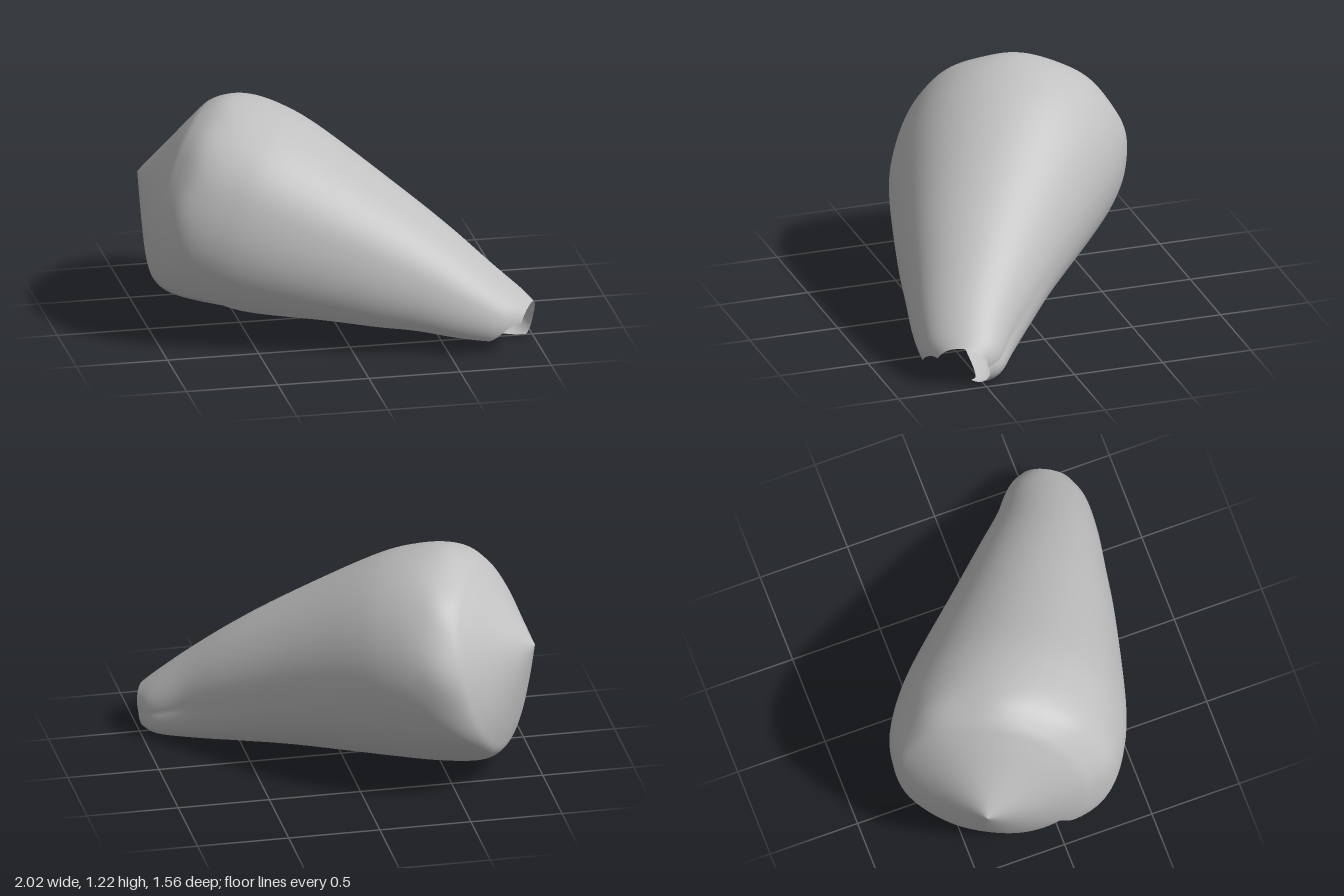
import * as THREE from 'three';

// Stations along the shell axis:
// [along, side centre, side radius, height centre, height radius, lip flare, canal opening]
const STATIONS = [
  [-1.06, 0.085, 0.0, 0.755, 0.0, 0, 0],
  [-0.95, 0.083, 0.24, 0.705, 0.235, 0, 0],
  [-0.85, 0.083, 0.445, 0.675, 0.43, 0.05, 0],
  [-0.78, 0.083, 0.535, 0.665, 0.522, 0.35, 0],
  [-0.65, 0.103, 0.6, 0.657, 0.57, 0.75, 0],
  [-0.45, 0.116, 0.605, 0.625, 0.566, 1, 0],
  [-0.2, 0.133, 0.565, 0.567, 0.52, 1, 0.05],
  [0.3, 0.155, 0.43, 0.415, 0.387, 1, 0.2],
  [0.6, 0.158, 0.342, 0.315, 0.3, 1, 0.5],
  [0.85, 0.158, 0.267, 0.22, 0.22, 1, 0.85],
  [1.04, 0.137, 0.207, 0.15, 0.15, 0.9, 1],
  [1.125, 0.125, 0.14, 0.128, 0.108, 0.5, 1],
];
const AX = 0.885, AZ = 0.465; // axis direction seen from above
const LEAN = 0.23;            // sections lean forward at the top
const DEG = Math.PI / 180;
const { lerp, smoothstep } = THREE.MathUtils;

// Catmull-Rom interpolation through the stations
function station(t) {
  const n = STATIONS.length - 1;
  const i = Math.min(Math.floor(t * n), n - 1), f = t * n - i;
  const at = (k) => STATIONS[Math.max(0, Math.min(n, k))];
  return at(i).map((p1, c) => {
    const p0 = at(i - 1)[c], p2 = at(i + 1)[c], p3 = at(i + 2)[c];
    return 0.5 * (2 * p1 + (p2 - p0) * f + (2 * p0 - 5 * p1 + 4 * p2 - p3) * f * f
      + (3 * p1 - p0 - 3 * p2 + p3) * f * f * f);
  });
}

// Radius around the whorl: flared lip first, then round, then curling in beneath the lip
function whorl(deg, flare, canal) {
  const lip = 1 - smoothstep(deg, -38, 25);
  const from = lerp(262, 240, canal);
  const curl = smoothstep(deg, from, from + 95);
  return 1 + 0.12 * flare * lip - (0.36 * flare * (1 - canal) + 0.65 * canal) * curl;
}

function shellPoint(t, s) {
  const [a, hc, rh, yc, ry, flare, canal] = station(t);
  // Lip edge: slightly uneven, rising into an arch at the narrow end
  const wave = 2 * Math.sin(t * 19) + 1.2 * Math.sin(t * 43);
  const start = -34 + wave * flare * (1 - canal) + 8 * canal + 45 * smoothstep(a, 1.0, 1.125);
  const deg = lerp(start, lerp(400, 272, canal), s);
  const ang = deg * DEG;
  const knobs = 1 + 0.009 * Math.sin(9 * ang) * Math.exp(-(((a + 0.72) / 0.1) ** 2));
  const r = whorl(deg, flare, canal) * knobs;
  // The canal floor is set back so the slit stays open towards the front
  const setBack = deg > 180 ? 0.35 * canal * Math.sin(ang) : 0;
  const h = hc + rh * (r * Math.cos(ang) + setBack);
  const dy = ry * r * Math.sin(ang);
  const along = a + LEAN * dy;
  return [along * AX - h * AZ, yc + dy, along * AZ + h * AX];
}

function shellGeometry(rows, cols) {
  const pos = [], idx = [];
  for (let i = 0; i <= rows; i++)
    for (let j = 0; j <= cols; j++) pos.push(...shellPoint(i / rows, j / cols));
  for (let i = 0; i < rows; i++)
    for (let j = 0; j < cols; j++) {
      const p = i * (cols + 1) + j, q = p + cols + 1;
      if (i > 0) idx.push(p, q, p + 1);
      idx.push(q, q + 1, p + 1);
    }
  const geo = new THREE.BufferGeometry();
  geo.setAttribute('position', new THREE.Float32BufferAttribute(pos, 3));
  geo.setIndex(idx);
  geo.computeVertexNormals();
  return geo;
}

export function createModel() {
  const group = new THREE.Group();
  group.name = 'coneShell';
  const shellGrey = new THREE.MeshStandardMaterial({ color: 0xc0c0c0, side: THREE.DoubleSide });
  shellGrey.name = 'shellGrey';

  // Spire, body whorl, lip and inner curl are one continuous sheet
  const geo = shellGeometry(99, 120);
  geo.computeBoundingBox();
  const box = geo.boundingBox, mid = box.getCenter(new THREE.Vector3());
  geo.translate(-mid.x, -box.min.y, -mid.z);

  const shell = new THREE.Mesh(geo, shellGrey);
  shell.name = 'shellWhorl';
  group.add(shell);
  return group;
}
